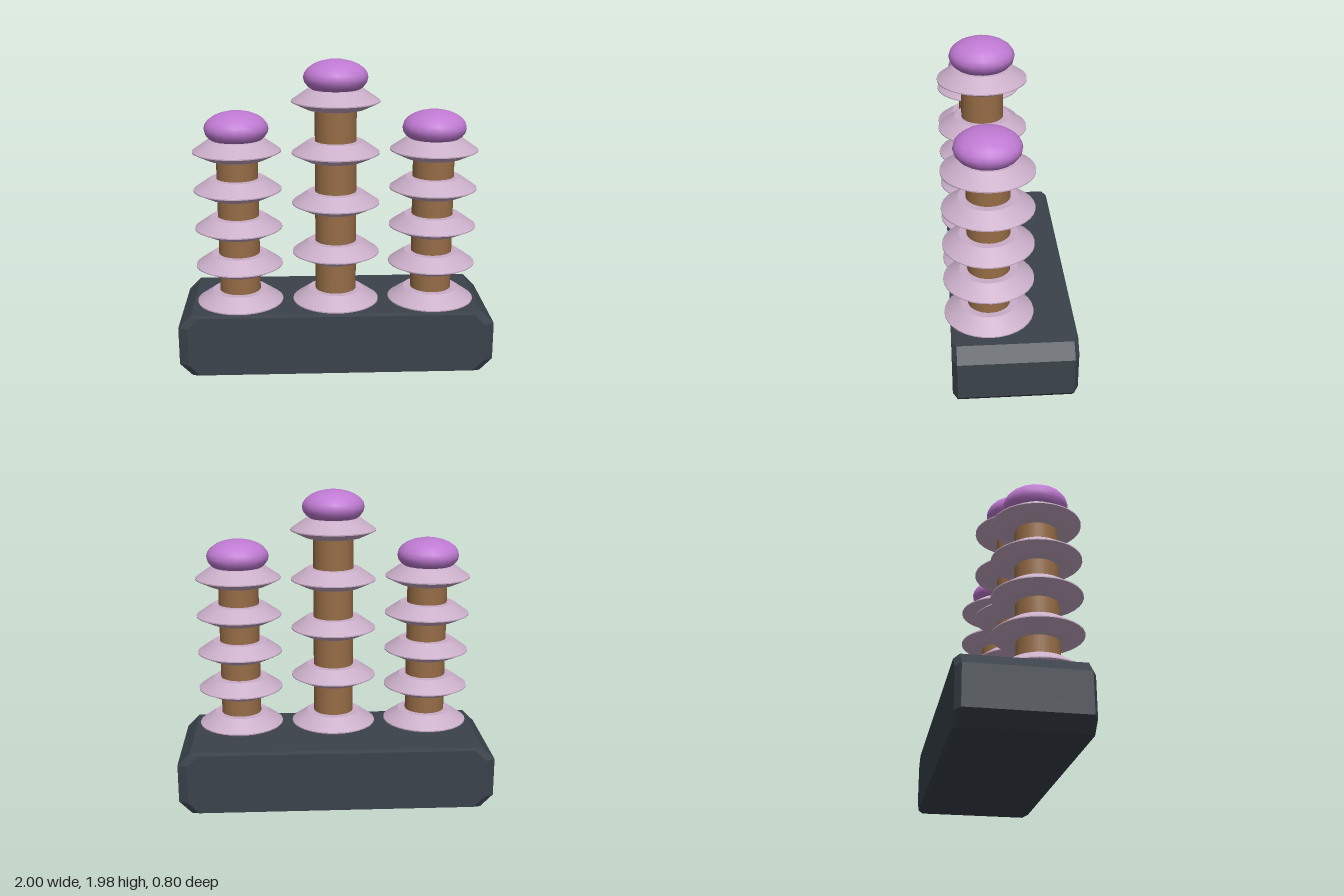
import * as THREE from 'three';
import { ConvexGeometry } from 'three/addons/geometries/ConvexGeometry.js';
import { toCreasedNormals } from 'three/addons/utils/BufferGeometryUtils.js';

function material(name, color) {
  const m = new THREE.MeshStandardMaterial({ color });
  m.name = name;
  return m;
}

// Corners of a rectangle with its corners cut off, at depth z
function cutRectangle(halfX, y0, y1, cut, z) {
  const points = [];
  for (const s of [-1, 1]) {
    points.push(
      new THREE.Vector3(s * (halfX - cut), y0, z),
      new THREE.Vector3(s * halfX, y0 + cut, z),
      new THREE.Vector3(s * halfX, y1 - cut, z),
      new THREE.Vector3(s * (halfX - cut), y1, z)
    );
  }
  return points;
}

export function createModel() {
  const model = new THREE.Group();
  model.name = 'insulatorBank';
  const slate = material('dark slate', 0x3a424a);
  const copper = material('copper brown', 0x966c46);
  const mauve = material('pale mauve', 0xc9aec8);
  const violet = material('violet', 0xbf7ad2);

  const add = (parent, geometry, mat, name, x = 0, y = 0, z = 0) => {
    const mesh = new THREE.Mesh(geometry, mat);
    mesh.name = name;
    mesh.position.set(x, y, z);
    parent.add(mesh);
    return mesh;
  };

  // Chamfered base block
  add(model, new ConvexGeometry([
    ...cutRectangle(0.94, 0.01, 0.395, 0.07, 0.36),
    ...cutRectangle(1, 0, 0.405, 0.08, 0.33),
    ...cutRectangle(1, 0, 0.405, 0.08, -0.37),
    ...cutRectangle(0.94, 0.01, 0.395, 0.07, -0.4)
  ]), slate, 'base');

  // Flared disc, measured from its underside
  const profile = [[0.12, 0], [0.185, 0], [0.275, 0.043], [0.275, 0.05], [0.175, 0.12], [0.12, 0.12]];
  const discGeometry = toCreasedNormals(
    new THREE.LatheGeometry(profile.map(([r, y]) => new THREE.Vector2(r, y)), 32), 0.35);
  const knobGeometry = new THREE.SphereGeometry(0.2, 20, 12);

  // Three columns, each with five evenly spaced discs and a flattened knob
  const columns = [
    ['rightColumn', -0.615, 0.245, 1.555],
    ['middleColumn', 0, 0.322, 1.868],
    ['leftColumn', 0.615, 0.245, 1.555]
  ];
  for (const [name, x, step, knobY] of columns) {
    const column = new THREE.Group();
    column.name = name;
    column.position.set(x, 0, 0.12);
    model.add(column);

    const bottom = 0.389;
    const height = knobY - bottom;
    add(column, new THREE.CylinderGeometry(0.13, 0.13, height, 32), copper, 'post', 0, bottom + height / 2);
    for (let i = 0; i < 5; i++) add(column, discGeometry, mauve, 'disc', 0, bottom + i * step);
    add(column, knobGeometry, violet, 'knob', 0, knobY).scale.y = 0.55;
  }
  return model;
}
